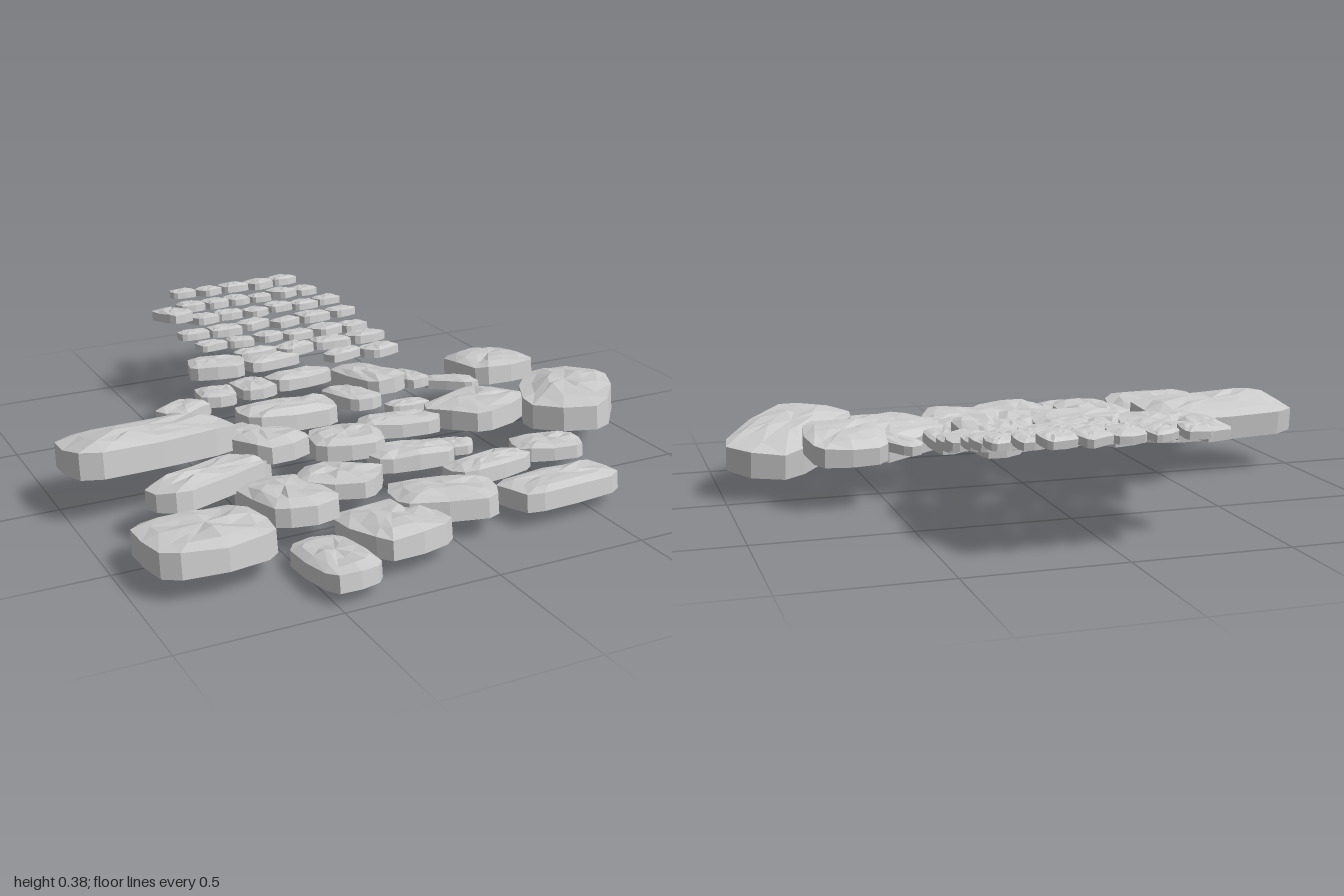
import * as THREE from 'three';

const TILT = 0.13; // every stone leans up towards the front
const SIDES = 12;
const material = new THREE.MeshStandardMaterial({ color: 0xcccccc, flatShading: true });

// Seeded noise between -0.5 and 0.5
let seed = 7;
function rand() {
  seed = (seed * 16807) % 2147483647;
  return seed / 2147483647 - 0.5;
}

// Ground height under a stone: the path climbs towards the back
const ground = z => 0.155 - z * (z > 0 ? 0.16 : 0.2);

// Softened box curve used for the stone outline
const soften = v => Math.sign(v) * Math.abs(v) ** 0.55;

// One stone: irregular rounded outline, upright walls, worn rim and uneven top
function stone(cx, cz, width, depth, turn = 0) {
  const thick = 0.22 * Math.sqrt(width * depth) + 0.006;
  const outline = [];
  for (let i = 0; i < SIDES; i++) {
    const a = (i / SIDES) * Math.PI * 2;
    const r = 0.5 + rand() * 0.05;
    const p = new THREE.Vector2(soften(Math.cos(a)) * width * r, soften(Math.sin(a)) * depth * r);
    outline.push(p.rotateAround(new THREE.Vector2(), turn));
  }

  // Rings from the base edge to the peak; scale 0 closes the ends
  const ring = (scale, height, rough) => outline.map(p => {
    const h = (height + rand() * rough) * thick;
    return [cx + p.x * scale, ground(cz) + TILT * p.y * scale + h, cz + p.y * scale - TILT * h];
  });
  const rings = [
    ring(0, 0, 0),
    ring(1, 0, 0),
    ring(0.995, 0.86, 0.12),
    ring(0.72, 1.04, 0.2),
    ring(0.36, 1.1, 0.22),
    ring(0, 1.12, 0),
  ];

  const pos = [];
  const last = rings.length - 2;
  for (let k = 0; k <= last; k++) {
    for (let i = 0; i < SIDES; i++) {
      const j = (i + 1) % SIDES;
      const a = rings[k], b = rings[k + 1];
      if (k > 0) pos.push(...a[i], ...b[j], ...a[j]);
      if (k < last) pos.push(...a[i], ...b[i], ...b[j]);
    }
  }
  const geometry = new THREE.BufferGeometry();
  geometry.setAttribute('position', new THREE.Float32BufferAttribute(pos, 3));
  geometry.computeVertexNormals();
  const mesh = new THREE.Mesh(geometry, material);
  mesh.name = 'stone';
  return mesh;
}

export function createModel() {
  const model = new THREE.Group();
  model.name = 'stonePath';
  // Each section returns an adder taking x, z, width, depth, turn
  const section = name => {
    const group = new THREE.Group();
    group.name = name;
    model.add(group);
    return (...size) => group.add(stone(...size));
  };

  // Broad slabs on the -x side
  const right = section('rightSlabs');
  right(-0.72, 0.05, 0.56, 0.29, -0.06);
  right(-0.52, -0.14, 0.2, 0.14, -0.6);
  right(-0.61, 0.3, 0.46, 0.18, -0.45);
  right(-0.74, 0.6, 0.39, 0.34);

  // Broad slabs on the +x side
  const left = section('leftSlabs');
  left(0.75, 0.23, 0.56, 0.31, -0.95);
  left(0.42, 0.18, 0.34, 0.28, -0.5);
  left(0.63, -0.08, 0.26, 0.31);
  left(0.52, 0.46, 0.23, 0.18, 0.3);
  left(0.45, -0.04, 0.2, 0.09, 0.9);

  // Front edge
  const front = section('frontSlabs');
  front(-0.43, 0.47, 0.23, 0.36, -0.1);
  front(-0.43, 0.81, 0.19, 0.33);
  front(-0.2, 0.72, 0.29, 0.33, -0.1);
  front(0.03, 0.63, 0.34, 0.26, 0.4);
  front(0.41, 0.69, 0.4, 0.2, -0.12);
  front(0.27, 0.5, 0.31, 0.15, -0.2);

  // Middle of the path
  const middle = section('middleSlabs');
  middle(-0.36, 0.13, 0.22, 0.33, -0.25);
  middle(-0.21, 0, 0.34, 0.22, 0.1);
  middle(-0.1, 0.22, 0.24, 0.26, 0.3);
  middle(0.12, 0.17, 0.28, 0.16, 0.3);
  middle(-0.22, 0.42, 0.26, 0.22, 0.6);
  middle(0.06, 0.36, 0.28, 0.18, 0.1);
  middle(0.24, 0.34, 0.12, 0.12, 0.5);
  middle(0.17, -0.14, 0.17, 0.31, -0.15);
  middle(0.06, -0.05, 0.14, 0.24, -0.15);
  middle(0.31, -0.11, 0.1, 0.18, -0.15);
  middle(0.22, 0.05, 0.15, 0.09);

  // Where the path narrows
  const neck = section('neckStones');
  neck(-0.31, -0.37, 0.2, 0.19, 0.3);
  neck(-0.38, -0.2, 0.13, 0.18, 0.2);
  neck(-0.24, -0.21, 0.13, 0.18);
  neck(-0.06, -0.22, 0.24, 0.13, -0.15);
  neck(-0.1, -0.36, 0.21, 0.1, -0.15);
  neck(0.17, -0.34, 0.16, 0.08, -0.4);
  neck(0.31, -0.33, 0.15, 0.11, -0.4);

  // Rows of small cobbles from the back: first x, last x, count
  const cobble = section('cobbles');
  cobble(-0.31, -0.78, 0.11, 0.17, -0.2);
  const rows = [[-0.21, 0.2, 5], [-0.22, 0.25, 6], [-0.21, 0.3, 6], [-0.29, 0.31, 6], [-0.26, 0.3, 6], [-0.13, 0.31, 4]];
  rows.forEach(([first, last, count], row) => {
    const step = (last - first) / (count - 1);
    for (let i = 0; i < count; i++) {
      const z = -0.935 + row * 0.101 + rand() * 0.02;
      cobble(first + i * step, z, step * (0.98 + rand() * 0.2), 0.095 + rand() * 0.03, rand() * 0.6 - 0.15);
    }
  });
  return model;
}
